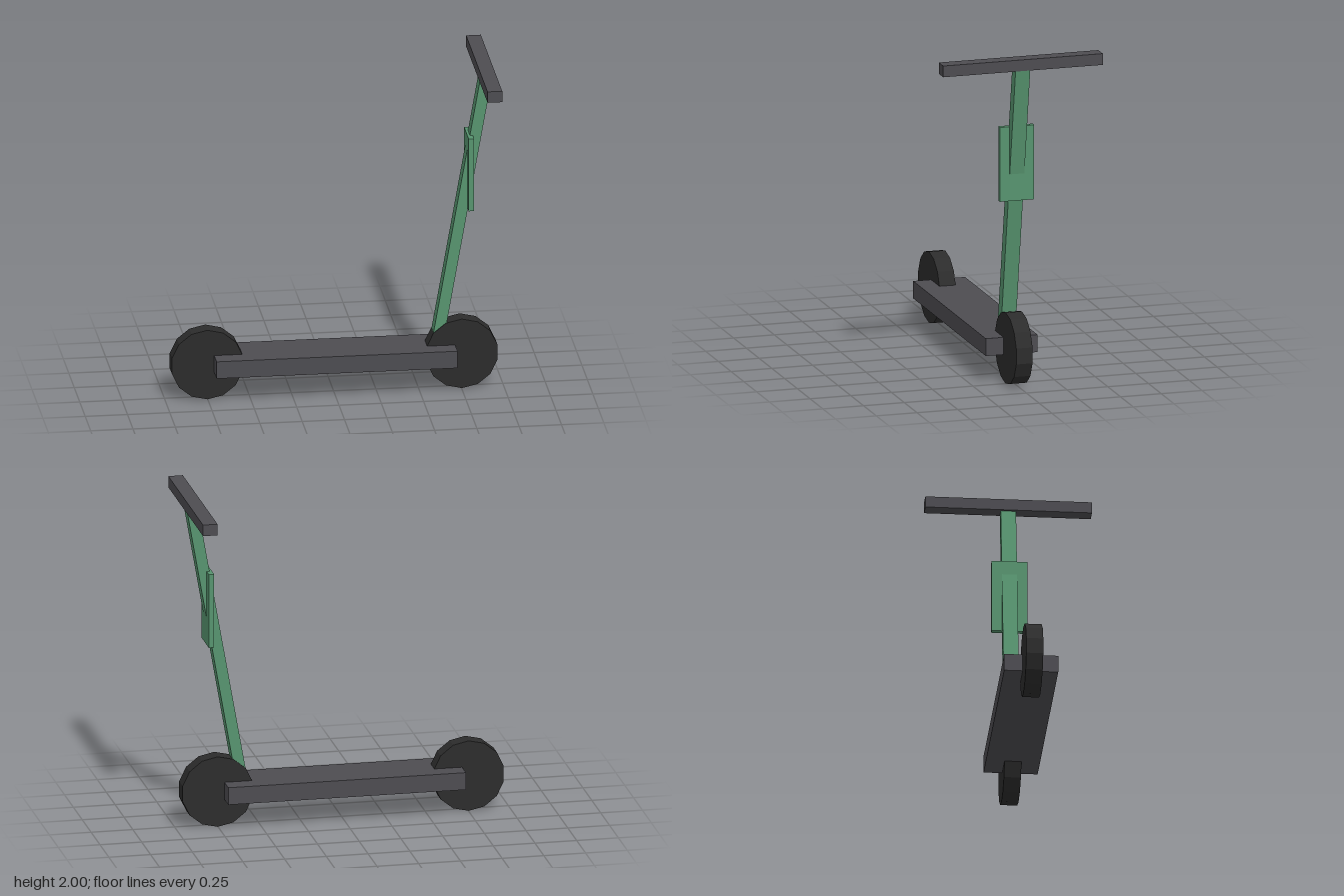
import * as THREE from 'three';

export function createModel() {
  const model = new THREE.Group();
  model.name = 'kickScooter';

  const material = (name, color) => {
    const m = new THREE.MeshStandardMaterial({ color, flatShading: true });
    m.name = name;
    return m;
  };
  const green = material('green paint', 0x57946f);
  const grey = material('dark grey', 0x4d4c51);
  const black = material('black rubber', 0x2c2c2c);

  const add = (name, geometry, mat, x, y, z = 0) => {
    const mesh = new THREE.Mesh(geometry, mat);
    mesh.name = name;
    mesh.position.set(x, y, z);
    model.add(mesh);
    return mesh;
  };

  // Wheels: 14-sided discs with a corner at the top
  const wheel = new THREE.CylinderGeometry(0.215, 0.215, 0.1, 14).rotateX(Math.PI / 2);
  add('rearWheel', wheel, black, -0.752, 0.215);
  add('frontWheel', wheel, black, 0.752, 0.215);

  // Standing deck
  add('deck', new THREE.BoxGeometry(1.424, 0.105, 0.318), grey, 0, 0.218);

  // Steering column, leaning forward over the front wheel
  const column = add('steeringColumn', new THREE.BoxGeometry(0.067, 1.675, 0.09), green, 0.7545, 1.12);
  column.rotation.z = THREE.MathUtils.degToRad(-10);

  // Upright plate crossing the column
  add('frontPlate', new THREE.BoxGeometry(0.032, 0.45, 0.21), green, 0.801, 1.345);

  // Handlebar
  add('handlebar', new THREE.BoxGeometry(0.087, 0.068, 0.98), grey, 0.89, 1.966);

  return model;
}
